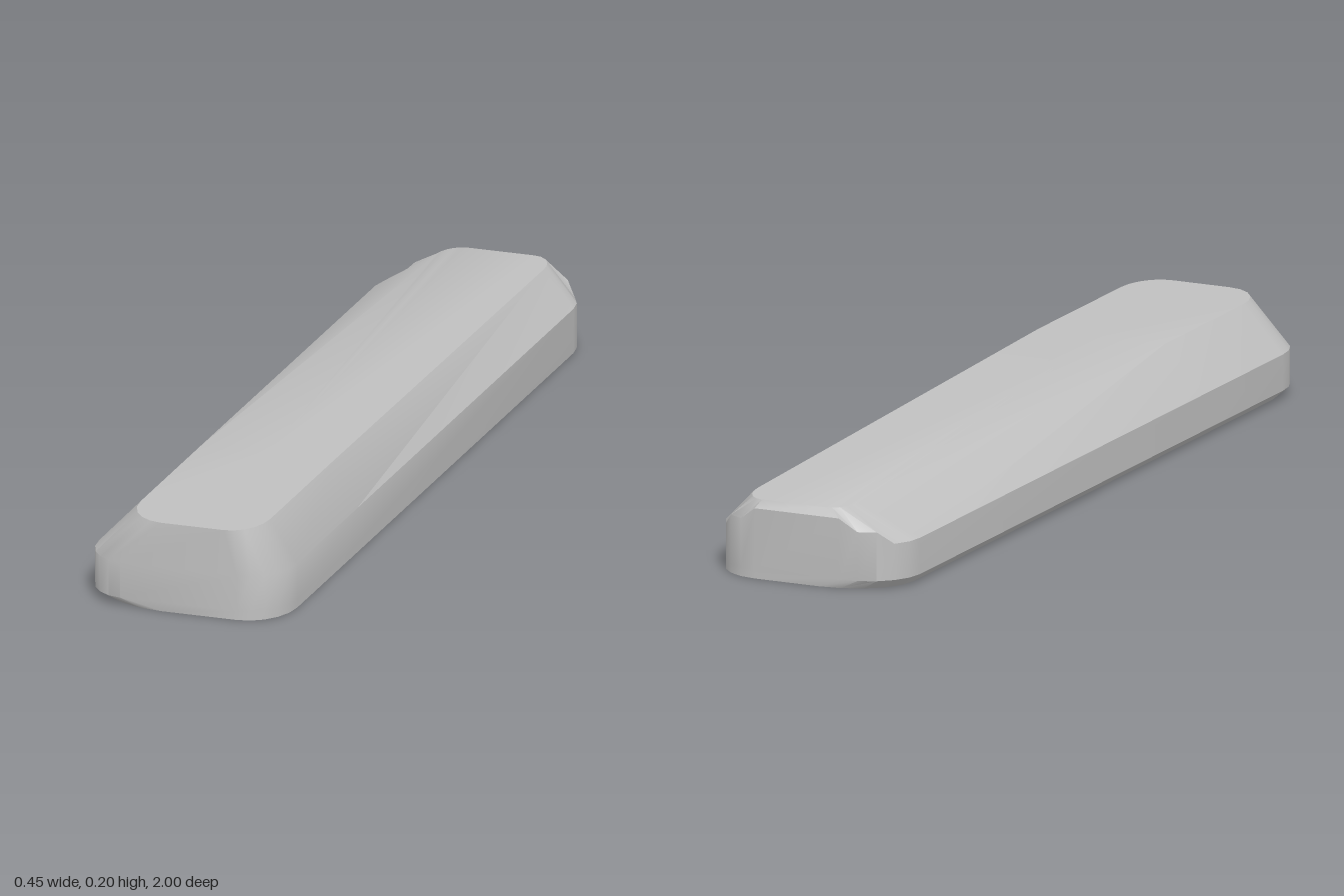
import * as THREE from 'three';
import { toCreasedNormals } from 'three/addons/utils/BufferGeometryUtils.js';

const SEG = 5;

// Elliptical corner from the long side (sx, sz) to the short end (ex, ez)
function corner([sx, sz, ex, ez]) {
  const pts = [];
  for (let i = 0; i <= SEG; i++) {
    const a = (i / SEG) * Math.PI / 2;
    pts.push([ex + (sx - ex) * Math.cos(a), sz + (ez - sz) * Math.sin(a)]);
  }
  return pts;
}

// Closed outline, counter-clockwise from above, with a break in each long side
function ring(frontLeft, backLeft, backRight, frontRight, height) {
  const fl = corner(frontLeft).reverse();
  const bl = corner(backLeft);
  const br = corner(backRight).reverse();
  const fr = corner(frontRight);
  const outline = [...fl, [frontLeft[0], 0.5], ...bl, ...br, [frontRight[0], 0.5], ...fr];
  return outline.map(([x, z], i) => new THREE.Vector3(x, height(x, z, i), z));
}

function bodyGeometry() {
  const wall = [[0.225, 0.88, 0.13, 1], [0.225, -0.88, 0.11, -1],
    [-0.225, -0.88, -0.09, -1], [-0.225, 0.88, -0.135, 1]];

  // The shoulder climbs at the back end, between the two back corners
  const shoulderY = (x, z) => z < -0.995 ? 0.155 : z < -0.97 ? 0.128 : 0.1;
  // The top is level at the front and slopes gently down to the back
  const topY = (x, z) => z > 0.5 ? 0.2 : 0.2 - (0.5 - z) * 0.0188;

  const rings = [
    // foot, tucked in along one side
    ring(wall[0], wall[1], [-0.205, -0.87, -0.04, -1], [-0.205, 0.87, -0.04, 1], () => 0),
    ring(...wall, () => 0.02),
    ring(...wall, shoulderY),
    ring([0.17, 0.9, 0.1, 1], [0.15, -0.9, 0.1, -0.985],
      [-0.1, -0.92, -0.05, -0.985], [-0.13, 0.88, -0.04, 1], topY),
  ];

  const n = rings[0].length;
  const pos = [];
  const tri = (...points) => points.forEach((p) => pos.push(p.x, p.y, p.z));
  const floorCentre = new THREE.Vector3(0, 0, 0);
  const topCentre = new THREE.Vector3(0.02, 0.2, 0.5);

  for (let i = 0; i < n; i++) {
    const j = (i + 1) % n;
    for (let r = 0; r < rings.length - 1; r++) {
      const lo = rings[r], hi = rings[r + 1];
      tri(lo[i], lo[j], hi[j]);
      tri(lo[i], hi[j], hi[i]);
    }
    tri(topCentre, rings[3][i], rings[3][j]);
    tri(floorCentre, rings[0][j], rings[0][i]);
  }

  const geometry = new THREE.BufferGeometry();
  geometry.setAttribute('position', new THREE.Float32BufferAttribute(pos, 3));
  return toCreasedNormals(geometry, THREE.MathUtils.degToRad(38));
}

export function createModel() {
  const group = new THREE.Group();
  group.name = 'beveledBar';

  const grey = new THREE.MeshStandardMaterial({ color: 0xc0c0c0 });
  grey.name = 'light grey';

  const body = new THREE.Mesh(bodyGeometry(), grey);
  body.name = 'barBody';
  group.add(body);
  return group;
}
